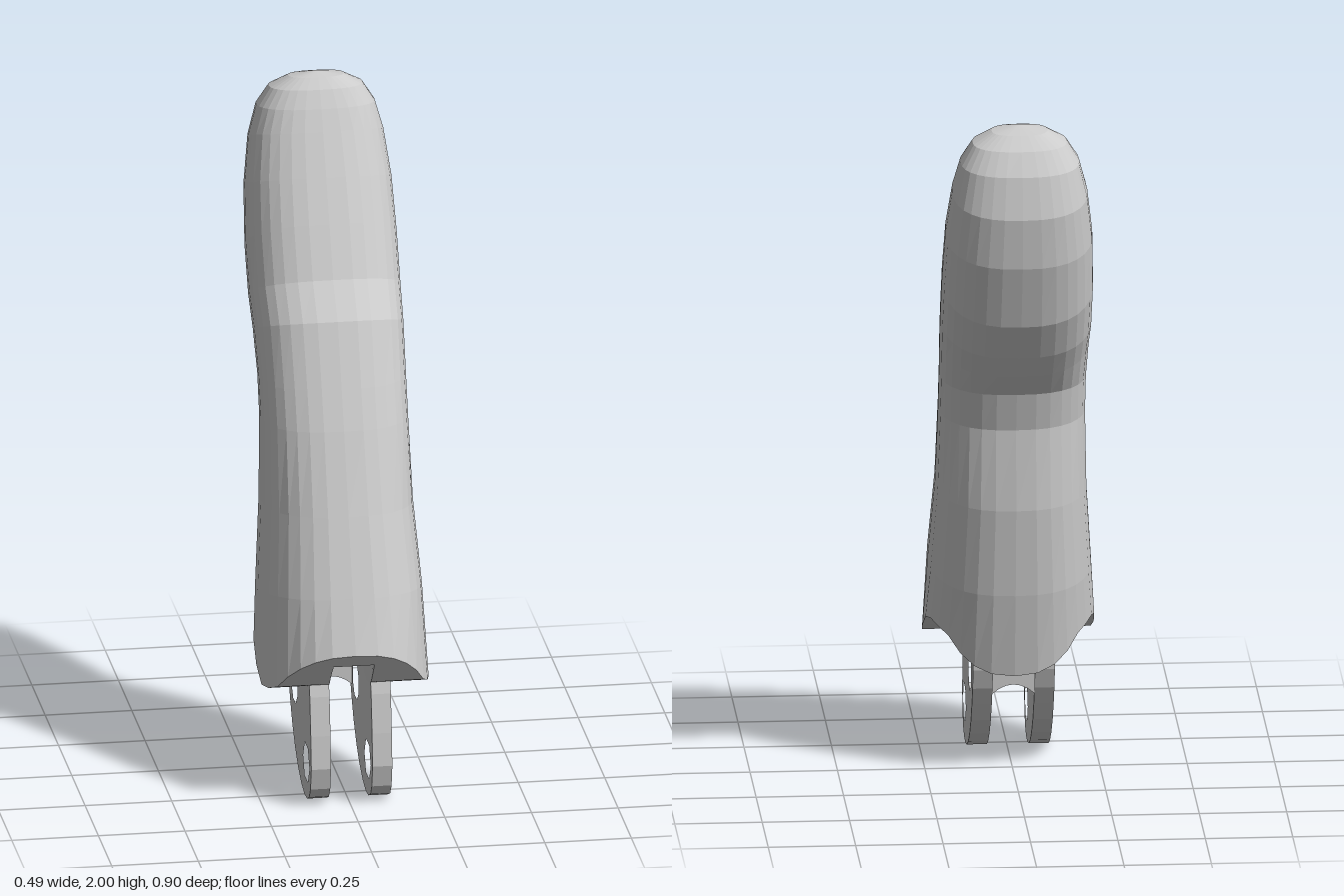
import * as THREE from 'three';

const N = 32; // sides around the finger

// Cross-sections: front z, front y, back z, back y, half width
const SECTIONS = [
  [0.455, 0.487, -0.10, 0.30, 0.245],
  [0.40, 0.64, -0.14, 0.55, 0.233],
  [0.32, 0.86, -0.165, 0.81, 0.216],
  [0.235, 1.09, -0.16, 1.05, 0.21],
  [0.19, 1.20, -0.19, 1.164, 0.21],
  [0.116, 1.38, -0.25, 1.235, 0.213],
  [0.03, 1.476, -0.307, 1.307, 0.216],
  [-0.04, 1.62, -0.376, 1.42, 0.216],
  [-0.10, 1.74, -0.434, 1.61, 0.21],
  [-0.16, 1.857, -0.45, 1.76, 0.193],
  [-0.19, 1.915, -0.425, 1.88, 0.17],
  [-0.22, 1.963, -0.385, 1.945, 0.135],
  [-0.25, 1.99, -0.34, 1.98, 0.08],
];

// Height of the knuckle cut under the body, as [z, y]
const CUT = [[-0.1, 0.30], [-0.075, 0.34], [-0.03, 0.41], [0.04, 0.435], [0.1, 0.425],
  [0.14, 0.405], [0.2, 0.36], [0.25, 0.34], [0.34, 0.355], [0.455, 0.487]];

function cutHeight(z) {
  for (let k = 1; k < CUT.length; k++) {
    const [z0, y0] = CUT[k - 1], [z1, y1] = CUT[k];
    if (z <= z1) return y0 + (y1 - y0) * Math.max(0, (z - z0) / (z1 - z0));
  }
  return CUT[CUT.length - 1][1];
}

const power = (v) => Math.sign(v) * Math.pow(Math.abs(v), 0.8);

// Point on a rounded-square cross-section; i = 0 is the front, i = N / 2 the back
function ringPoint([fz, fy, bz, by, w], i) {
  const t = (i / N) * Math.PI * 2;
  const c = power(Math.cos(t));
  return [w * power(Math.sin(t)), (fy + by) / 2 + c * (fy - by) / 2, (fz + bz) / 2 + c * (fz - bz) / 2];
}

// The lowest ring follows the knuckle cut
function rimPoint(i) {
  const [x, , z] = ringPoint(SECTIONS[0], i);
  return [x, cutHeight(z), z];
}

function geometryFrom(points, index) {
  const g = new THREE.BufferGeometry();
  g.setAttribute('position', new THREE.Float32BufferAttribute(points.flat(), 3));
  g.setIndex(index);
  g.computeVertexNormals();
  return g;
}

// Closed skin from the rim up to the rounded tip
function skinGeometry() {
  const points = [], index = [];
  SECTIONS.forEach((s, j) => {
    for (let i = 0; i < N; i++) points.push(j ? ringPoint(s, i) : rimPoint(i));
  });
  const tip = points.push([0, 2, -0.285]) - 1;
  const last = SECTIONS.length - 1;
  for (let j = 0; j <= last; j++) {
    for (let i = 0; i < N; i++) {
      const a = j * N + i, b = j * N + (i + 1) % N;
      if (j === last) index.push(a, b, tip);
      else index.push(a, b, b + N, a, b + N, a + N);
    }
  }
  return geometryFrom(points, index);
}

// Underside: the arched knuckle cut with a narrow slot in its front half
function undersideGeometry() {
  const points = [], index = [], cols = 6;
  for (let i = 0; i <= N / 2; i++) {
    const [w, y, z] = rimPoint(i);
    const outer = Math.min(Math.abs(w), 0.06), inner = Math.min(Math.abs(w), 0.058);
    const slotY = z > 0.04 ? Math.max(y, 0.435) : y;
    [-w, -outer, -inner, inner, outer, w].forEach((x, k) => {
      points.push([x, k === 2 || k === 3 ? slotY : y, z]);
    });
  }
  for (let i = 0; i < N / 2; i++) {
    for (let k = 0; k < cols - 1; k++) {
      const a = i * cols + k, c = a + cols;
      index.push(a, c, a + 1, a + 1, c, c + 1);
    }
  }
  return geometryFrom(points, index);
}

// Hinge plate with two pin holes, drawn in the z-y plane
function lugGeometry() {
  const outline = [[0.34, 0.37], [0.352, 0.33], [0.37, 0.217], [0.38, 0.12], [0.365, 0.055], [0.34, 0.022],
    [0.30, 0.004], [0.25, 0], [0.19, 0.013], [0.13, 0.04], [0.074, 0.08], [0.02, 0.135], [-0.02, 0.195],
    [-0.05, 0.25], [-0.07, 0.31], [-0.073, 0.36], [-0.02, 0.44], [0.04, 0.46], [0.14, 0.43], [0.22, 0.38]];
  const shape = new THREE.Shape(outline.map(([z, y]) => new THREE.Vector2(z, y)));
  for (const [z, y, sides, turn] of [[0.286, 0.11, 6, 0], [0.063, 0.27, 8, Math.PI / 8]]) {
    const hole = [];
    for (let k = 0; k < sides; k++) {
      const t = turn - (k / sides) * Math.PI * 2;
      hole.push(new THREE.Vector2(z + 0.059 * Math.cos(t), y + 0.059 * Math.sin(t)));
    }
    shape.holes.push(new THREE.Path(hole));
  }
  const g = new THREE.ExtrudeGeometry(shape, { depth: 0.057, bevelEnabled: false });
  return g.rotateY(-Math.PI / 2);
}

// Web closing the back between the plates, with an arched lower edge
function webGeometry() {
  const shape = new THREE.Shape();
  shape.moveTo(-0.061, 0.4);
  shape.lineTo(-0.061, 0.23);
  shape.quadraticCurveTo(0, 0.285, 0.061, 0.23);
  shape.lineTo(0.061, 0.4);
  return new THREE.ExtrudeGeometry(shape, { depth: 0.035, bevelEnabled: false, curveSegments: 6 });
}

export function createModel() {
  const group = new THREE.Group();
  const material = new THREE.MeshStandardMaterial({ color: 0xcccccc, flatShading: true });
  const add = (name, geometry) => {
    const mesh = new THREE.Mesh(geometry, material);
    mesh.name = name;
    group.add(mesh);
    return mesh;
  };

  // Finger body
  add('fingerBody', skinGeometry());
  add('knuckleUnderside', undersideGeometry());

  // Mirrored pair of hinge plates
  add('leftHingePlate', lugGeometry()).position.x = 0.117;
  add('rightHingePlate', lugGeometry()).position.x = -0.06;

  // Web between the plates
  add('hingeWeb', webGeometry()).position.z = -0.04;

  return group;
}
